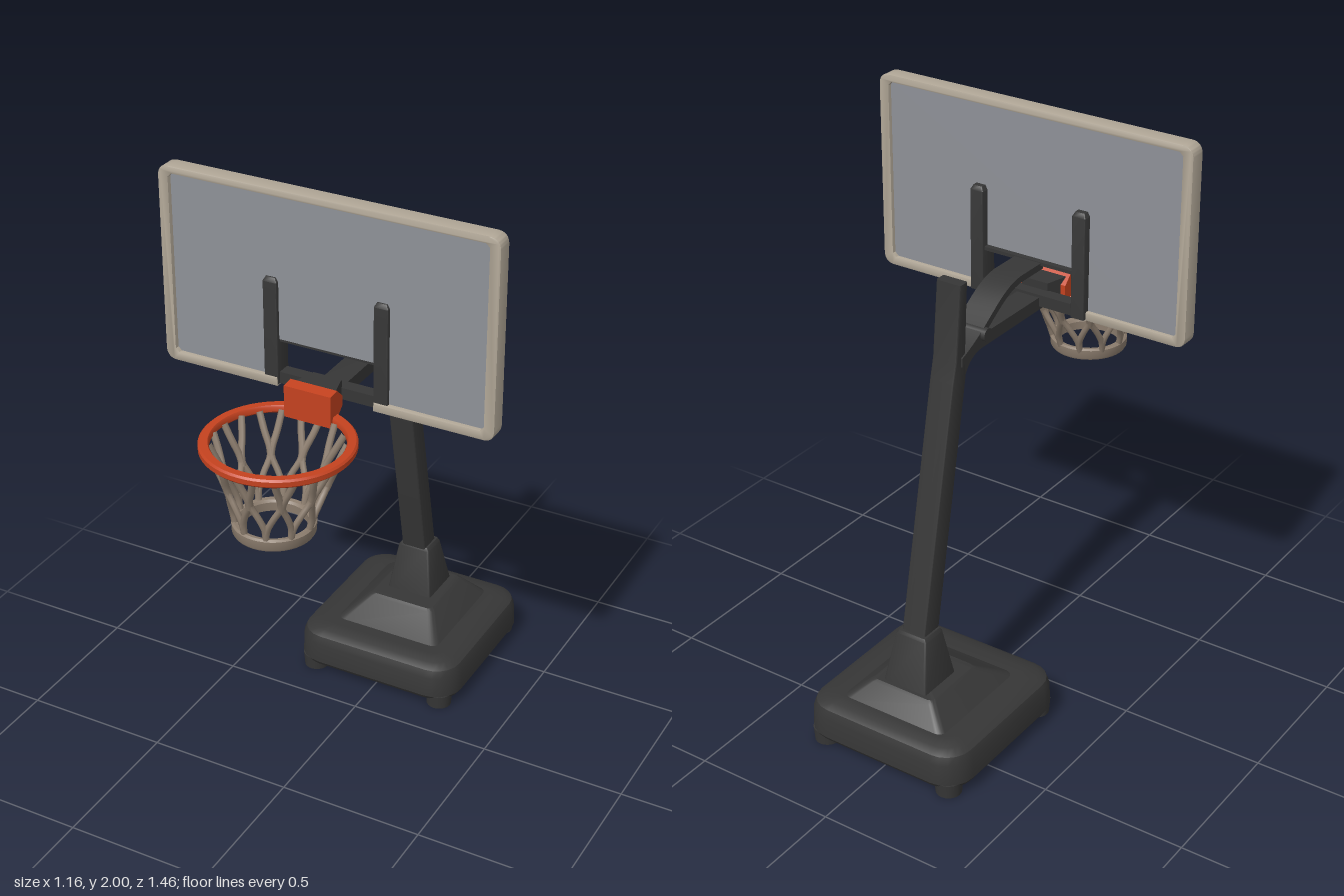
import * as THREE from 'three';
import { toCreasedNormals } from 'three/addons/utils/BufferGeometryUtils.js';

const material = (name, color) => {
  const m = new THREE.MeshStandardMaterial({ color });
  m.name = name;
  return m;
};

// Closed solid through rounded-rectangle sections [y, halfWidth, zBack, zFront, cornerRadius]
function loft(sections, k = 6) {
  const pos = [], index = [], n = 4 * k;
  for (const [y, hx, z0, z1, r] of sections) {
    const zc = (z0 + z1) / 2, hz = (z1 - z0) / 2;
    for (let c = 0; c < 4; c++) {
      const sx = c === 0 || c === 3 ? 1 : -1, sz = c < 2 ? 1 : -1;
      for (let i = 0; i < k; i++) {
        const a = (c + i / (k - 1)) * Math.PI / 2;
        pos.push(sx * (hx - r) + r * Math.cos(a), y, zc + sz * (hz - r) + r * Math.sin(a));
      }
    }
  }
  for (let s = 0; s < sections.length - 1; s++) {
    for (let i = 0; i < n; i++) {
      const a = s * n + i, b = s * n + (i + 1) % n;
      index.push(a, a + n, b, b, a + n, b + n);
    }
  }
  const top = (sections.length - 1) * n;
  for (let i = 1; i < n - 1; i++) {
    index.push(0, i, i + 1, top, top + i + 1, top + i);
  }
  const g = new THREE.BufferGeometry();
  g.setAttribute('position', new THREE.Float32BufferAttribute(pos, 3));
  g.setIndex(index);
  return toCreasedNormals(g, 0.5);
}

// Side outline in (z, y), extruded across x
function sideExtrude(shape, width) {
  const g = new THREE.ExtrudeGeometry(shape, { depth: width, bevelEnabled: false, curveSegments: 12 });
  g.translate(0, 0, -width / 2).rotateY(-Math.PI / 2);
  return toCreasedNormals(g, 0.5);
}

export function createModel() {
  const model = new THREE.Group();
  model.name = 'basketballHoop';
  const dark = material('darkMetal', 0x363636);
  const beige = material('beigeFrame', 0xb0a696);
  const grey = material('greyPanel', 0x8e9197);
  const orange = material('orangeRim', 0xc4421f);
  const cord = material('netCord', 0x8c7d6e);

  const add = (name, geometry, mat, x = 0, y = 0, z = 0) => {
    const mesh = new THREE.Mesh(geometry, mat);
    mesh.name = name;
    mesh.position.set(x, y, z);
    model.add(mesh);
    return mesh;
  };
  const box = (name, mat, w, h, d, x, y, z) => add(name, new THREE.BoxGeometry(w, h, d), mat, x, y, z);

  // Weighted base with feet
  const baseZ = -0.42;
  const ring = (y, h, r) => [y, h, baseZ - h, baseZ + h, r];
  add('base', loft([ring(0.035, 0.3, 0.09), ring(0.05, 0.31, 0.1), ring(0.125, 0.308, 0.1),
    ring(0.152, 0.298, 0.09), ring(0.168, 0.272, 0.07), ring(0.172, 0.23, 0.05)]), dark);
  add('basePlinth', loft([[0.165, 0.205, -0.65, -0.22, 0.03], [0.232, 0.13, -0.595, -0.335, 0.02],
    [0.24, 0.118, -0.585, -0.345, 0.02]]), dark);
  for (const x of [-0.245, 0.245]) {
    for (const z of [-0.675, -0.165]) {
      add('foot', new THREE.CylinderGeometry(0.047, 0.043, 0.05, 20), dark, x, 0.025, z);
    }
  }

  // Collar and leaning pole
  add('poleCollar', loft([[0.23, 0.085, -0.575, -0.405, 0.008], [0.41, 0.06, -0.532, -0.437, 0.008],
    [0.422, 0.052, -0.527, -0.442, 0.006]]), dark);
  add('pole', loft([[0.4, 0.045, -0.522, -0.442, 0.006], [1.26, 0.045, -0.342, -0.273, 0.006],
    [1.33, 0.045, -0.325, -0.275, 0.006], [1.58, 0.045, -0.299, -0.26, 0.006]]), dark);

  // Lower arm, flaring down into the pole
  const lower = new THREE.Shape();
  lower.moveTo(0.25, 1.322);
  lower.lineTo(0.25, 1.365);
  lower.lineTo(-0.18, 1.367);
  lower.quadraticCurveTo(-0.24, 1.36, -0.31, 1.32);
  lower.lineTo(-0.31, 1.22);
  lower.lineTo(-0.283, 1.24);
  lower.quadraticCurveTo(-0.26, 1.32, -0.18, 1.322);
  add('lowerArm', sideExtrude(lower, 0.085), dark);

  // Curved upper arm
  const upper = new THREE.Shape();
  upper.moveTo(0.15, 1.467);
  upper.lineTo(0.15, 1.49);
  upper.lineTo(0.02, 1.49);
  upper.bezierCurveTo(-0.1, 1.48, -0.15, 1.39, -0.3, 1.335);
  upper.lineTo(-0.3, 1.305);
  upper.bezierCurveTo(-0.16, 1.36, -0.09, 1.455, 0.02, 1.467);
  add('upperArm', sideExtrude(upper, 0.1), dark);
  const bolt = add('armBolt', new THREE.CylinderGeometry(0.022, 0.022, 0.13, 16), dark, 0, 1.372, -0.18);
  bolt.rotation.z = Math.PI / 2;

  // Backboard frame, open at the bottom notch
  const W = 0.58, T = 2, B = 1.33, R = 0.04, e = 0.036, N = 0.17, r = 0.012;
  const frame = new THREE.Shape();
  frame.moveTo(N, B);
  frame.lineTo(W - R, B);
  frame.quadraticCurveTo(W, B, W, B + R);
  frame.lineTo(W, T - R);
  frame.quadraticCurveTo(W, T, W - R, T);
  frame.lineTo(R - W, T);
  frame.quadraticCurveTo(-W, T, -W, T - R);
  frame.lineTo(-W, B + R);
  frame.quadraticCurveTo(-W, B, R - W, B);
  frame.lineTo(-N, B);
  frame.lineTo(-N, B + 0.03);
  frame.lineTo(e + r - W, B + 0.03);
  frame.lineTo(e - W, B + 0.03 + r);
  frame.lineTo(e - W, T - 0.025 - r);
  frame.lineTo(e + r - W, T - 0.025);
  frame.lineTo(W - e - r, T - 0.025);
  frame.lineTo(W - e, T - 0.025 - r);
  frame.lineTo(W - e, B + 0.03 + r);
  frame.lineTo(W - e - r, B + 0.03);
  frame.lineTo(N, B + 0.03);
  const frameGeo = new THREE.ExtrudeGeometry(frame, { depth: 0.05, bevelThickness: 0.004, bevelSize: 0.003, bevelOffset: -0.003, bevelSegments: 2 });
  add('backboardFrame', toCreasedNormals(frameGeo, 0.6), beige, 0, 0, 0.147);

  // Backboard panel with the notch cut out
  const panel = new THREE.Shape([[-0.56, 1.345], [-N, 1.345], [-N, 1.49], [N, 1.49], [N, 1.345],
    [0.56, 1.345], [0.56, 1.985], [-0.56, 1.985]].map(([x, y]) => new THREE.Vector2(x, y)));
  add('backboardPanel', new THREE.ExtrudeGeometry(panel, { depth: 0.028, bevelEnabled: false }), grey, 0, 0, 0.157);

  // Uprights and crossbars gripping the panel
  for (const s of [-1, 1]) {
    add('panelUpright', loft([[1.335, 0.025, 0.13, 0.197, 0.004], [1.685, 0.025, 0.13, 0.197, 0.004],
      [1.7, 0.017, 0.137, 0.19, 0.004]]), dark, s * 0.193);
  }
  box('lowerCrossbar', dark, 0.39, 0.04, 0.045, 0, 1.355, 0.163);
  box('notchTrim', dark, 0.34, 0.012, 0.045, 0, 1.487, 0.16);

  // Rim mount: widening dark neck and orange bracket
  const neck = new THREE.Shape([[-0.05, 0.18], [0.05, 0.18], [0.078, 0.285], [-0.078, 0.285]]
    .map(([x, z]) => new THREE.Vector2(x, -z)).reverse());
  const neckGeo = new THREE.ExtrudeGeometry(neck, { depth: 0.06, bevelEnabled: false });
  neckGeo.rotateX(-Math.PI / 2);
  add('rimNeck', neckGeo, dark, 0, 1.342, 0);
  const bracket = new THREE.Shape([[0.235, 1.345], [0.285, 1.3], [0.31, 1.3], [0.31, 1.408], [0.268, 1.412], [0.235, 1.38]]
    .map(([z, y]) => new THREE.Vector2(z, y)));
  add('rimBracket', sideExtrude(bracket, 0.164), orange);

  // Rim
  const rimZ = 0.488;
  const rimProfile = [[0.212, 1.305], [0.236, 1.303], [0.242, 1.309], [0.242, 1.325], [0.236, 1.331],
    [0.212, 1.331], [0.208, 1.325], [0.208, 1.31], [0.212, 1.305]].map(([x, y]) => new THREE.Vector2(x, y));
  add('rim', toCreasedNormals(new THREE.LatheGeometry(rimProfile, 56), 0.6), orange, 0, 0, rimZ);

  // Net: branching cords running from the rim to a bottom band
  const net = new THREE.Group();
  net.name = 'net';
  model.add(net);
  const netPoint = (angle, y) => {
    const t = (y - 1.04) / 0.27;
    const radius = 0.117 + 0.05 * t + 0.04 * t * t;
    return new THREE.Vector3(radius * Math.cos(angle), y, 0.521 - 0.03 * t + radius * Math.sin(angle));
  };
  const cords = 10, step = Math.PI * 2 / cords;
  const strand = (points, thickness) => {
    const curve = new THREE.CatmullRomCurve3(points.map(([a, y]) => netPoint(a * step, y)));
    const mesh = new THREE.Mesh(new THREE.TubeGeometry(curve, 10, thickness, 7), cord);
    mesh.name = 'netCord';
    net.add(mesh);
  };
  for (let i = 0; i < cords; i++) {
    for (const s of [-1, 1]) {
      strand([[i, 1.05], [i + s * 0.04, 1.1], [i + s * 0.25, 1.145], [i + s * 0.46, 1.185], [i + s * 0.5, 1.215]], 0.0105);
      const j = i + 0.5;
      strand([[j, 1.18], [j + s * 0.04, 1.215], [j + s * 0.17, 1.26], [j + s * 0.27, 1.316]], 0.0115);
    }
  }
  const bandProfile = [[0.107, 1.03], [0.127, 1.03], [0.131, 1.037], [0.132, 1.065], [0.125, 1.07],
    [0.112, 1.068], [0.106, 1.06], [0.107, 1.03]].map(([x, y]) => new THREE.Vector2(x, y));
  const band = new THREE.Mesh(toCreasedNormals(new THREE.LatheGeometry(bandProfile, 40), 0.6), cord);
  band.name = 'netBand';
  band.position.z = 0.521;
  net.add(band);

  return model;
}
